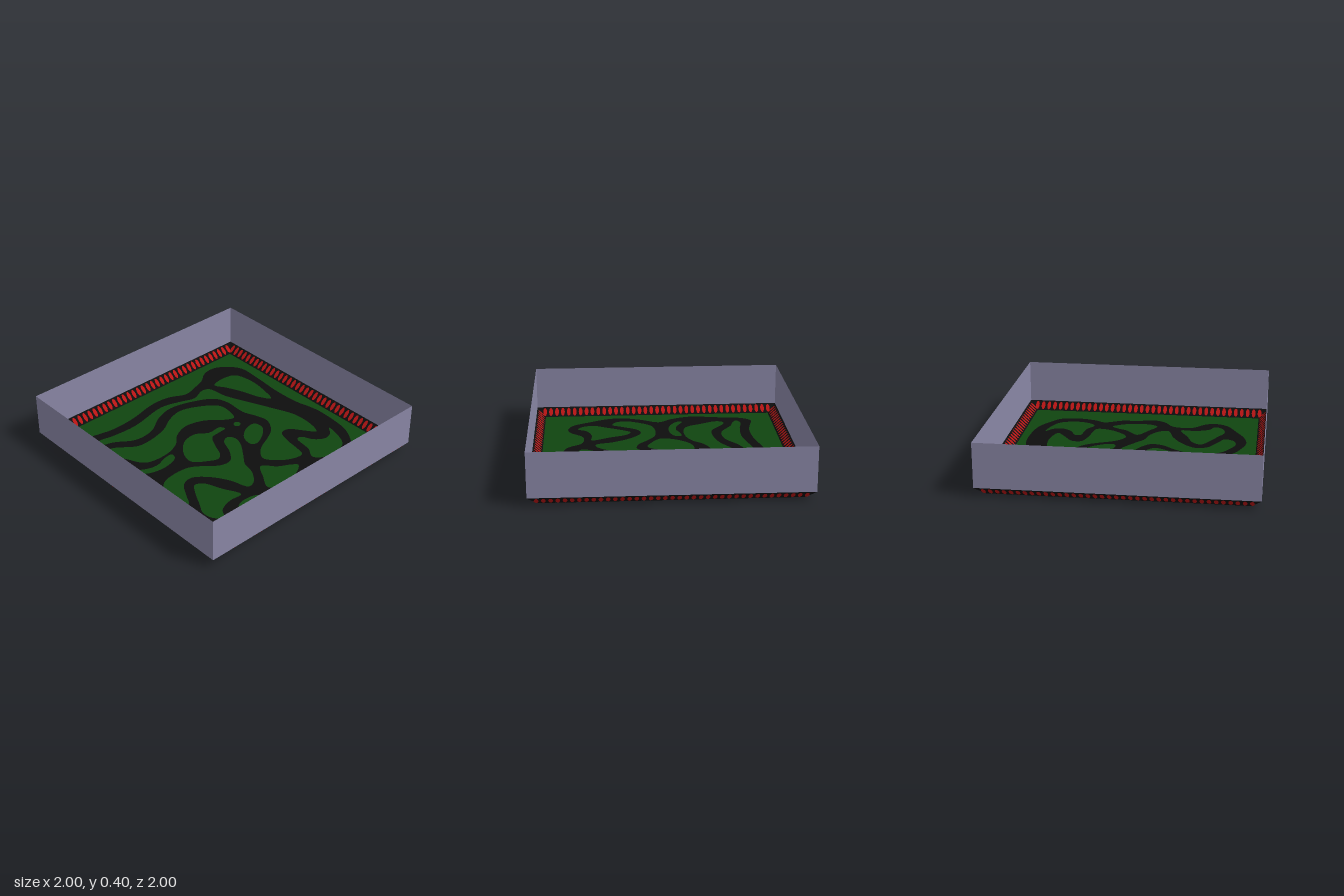
import * as THREE from 'three';
import { mergeGeometries } from 'three/addons/utils/BufferGeometryUtils.js';

const mat = (name, color) =>
  new THREE.MeshStandardMaterial({ name, color, side: THREE.DoubleSide });

// Smooth closed loop through flat [x, z, x, z...] points given in hundredths
function loop(points) {
  const knots = [];
  for (let i = 0; i < points.length; i += 2) {
    knots.push(new THREE.Vector3(points[i] / 100, points[i + 1] / 100, 0));
  }
  const curve = new THREE.CatmullRomCurve3(knots, true, 'centripetal');
  return curve.getPoints(knots.length * 5).slice(0, -1).map(p => new THREE.Vector2(p.x, p.y));
}

// Open four-sided band, from half width a at height y0 to half width b at height y1
function squareBand(a, b, y0, y1) {
  const g = new THREE.CylinderGeometry(b * Math.SQRT2, a * Math.SQRT2, y1 - y0, 4, 1, true)
    .rotateY(Math.PI / 4).translate(0, (y0 + y1) / 2, 0).toNonIndexed();
  g.computeVertexNormals();
  return g;
}

// Outer edge of the road network
const roadEdge = [
  -69, -84, -50, -84, -24, -82, -2, -83, 11, -86, 22, -87, 49, -84, 62, -77, 72, -68, 74, -53,
  71, -40, 67, -32, 73, -18, 74, -5, 77, 8, 73, 17, 63, 25, 62, 40, 72, 51, 74, 59, 70, 68,
  57, 76, 43, 83, 30, 85, 14, 80, 0, 73, -10, 80, -26, 86, -50, 83, -69, 80, -76, 74, -74, 62,
  -72, 51, -73, 30, -78, 6, -77, -10, -71, -24, -74, -37, -77, -46, -84, -56, -85, -67, -79, -77];

// Grass islands enclosed by the road
const islands = {
  northWest: [-65, -73, -50, -77, -32, -75, -20, -71, -29, -65, -42, -61, -56, -55, -65, -50,
    -67, -53, -68, -64],
  longWest: [-64, -43, -48, -46, -26, -55, -7, -63, 9, -69, 27, -69, 37, -65, 30, -59, 20, -51,
    20, -44, 30, -40, 43, -38, 50, -36, 51, -32, 47, -21, 35, -10, 27, -14, 22, -21, 17, -32,
    11, -41, 0, -47, -10, -45, -21, -41, -40, -41, -50, -37, -58, -24, -64, -2, -60, 14, -50, 30,
    -49, 46, -58, 61, -61, 70, -64, 74, -67, 68, -65, 56, -64, 35, -70, 3, -66, -13, -62, -25,
    -66, -37],
  northEast: [40, -76, 51, -74, 62, -68, 66, -56, 64, -45, 58, -39, 49, -44, 34, -47, 34, -51,
    43, -56, 48, -64, 46, -71],
  east: [58, -24, 66, -10, 66, 6, 62, 12, 51, 6, 40, -2, 49, -11, 54, -20],
  innerWest: [-40, -33, -26, -33, -20, -30, -24, -21, -33, -10, -37, 6, -32, 19, -24, 27, -19, 40,
    -21, 59, -34, 67, -48, 73, -53, 70, -52, 65, -42, 51, -41, 40, -45, 22, -53, 8, -56, -5,
    -50, -21],
  centre: [-18, -13, -14, -15, -13, -8, -12, 0, -2, 6, 9, 11, 12, 16, 9, 23, 1, 33, -10, 31,
    -22, 20, -24, 8, -18, -2],
  dot: [-12, -29, -9, -26, -12, -23, -15, -26],
  innerNorth: [-3, -37, 4, -38, 11, -32, 17, -20, 15, -16, 6, -17, -1, -24, -4, -32],
  southCentre: [-4, -9, 1, -12, 9, -10, 22, -1, 30, 5, 41, 8, 51, 16, 52, 22, 38, 27, 25, 35,
    16, 46, 18, 55, 30, 63, 38, 68, 35, 75, 27, 77, 17, 73, 7, 65, 4, 54, 5, 40, 11, 30, 19, 20,
    20, 11, 11, 3, -2, -3],
  southSliver: [-16, 38, -11, 39, -7, 51, -9, 65, -16, 74, -19, 73, -14, 62, -13, 54, -16, 45],
  southEast: [55, 32, 55, 43, 59, 54, 66, 59, 62, 65, 53, 67, 43, 62, 30, 55, 24, 50, 27, 44,
    41, 38],
};

export function createModel() {
  const model = new THREE.Group();
  model.name = 'raceTrackArena';
  const grass = mat('grass green', 0x104510);
  const asphalt = mat('asphalt black', 0x0e0e0e);
  const red = mat('barrier red', 0xb81414);
  const wall = mat('wall grey', 0x8a87a6);
  const add = (name, geometry, material, parent = model) => {
    const mesh = new THREE.Mesh(geometry, material);
    mesh.name = name;
    parent.add(mesh);
    return mesh;
  };

  const inner = 0.93, rim = 0.065, top = 0.4;

  // Ground sheet
  add('ground', new THREE.PlaneGeometry(inner * 2, inner * 2).rotateX(-Math.PI / 2), grass)
    .position.y = 0.002;

  // Road with island cut-outs, shown on both faces of the ground
  const road = new THREE.Shape(loop(roadEdge));
  for (const island of Object.values(islands)) road.holes.push(new THREE.Path(loop(island)));
  const roadGeometry = new THREE.ShapeGeometry(road).rotateX(Math.PI / 2);
  add('roadTop', roadGeometry, asphalt).position.y = 0.004;
  add('roadUnderside', roadGeometry, asphalt);

  // Sloping barrier and upright walls
  add('barrier', squareBand(inner, 1, 0, rim), asphalt);
  add('walls', squareBand(1, 1, rim, top), wall);

  // Row of red ovals on both faces of each sloping side
  const ovals = [], count = 39, pitch = 0.0493;
  for (let i = 0; i < count; i++) {
    for (const offset of [-0.002, 0.002]) {
      ovals.push(new THREE.CircleGeometry(1, 16).scale(0.016, 0.038, 1)
        .translate((i - (count - 1) / 2) * pitch, 0, offset));
    }
  }
  const ovalRow = mergeGeometries(ovals)
    .rotateX(-Math.atan2(1 - inner, rim)).translate(0, rim / 2, -(1 + inner) / 2);
  for (let side = 0; side < 4; side++) {
    add('barrierOvals', ovalRow, red).rotation.y = side * Math.PI / 2;
  }
  return model;
}
